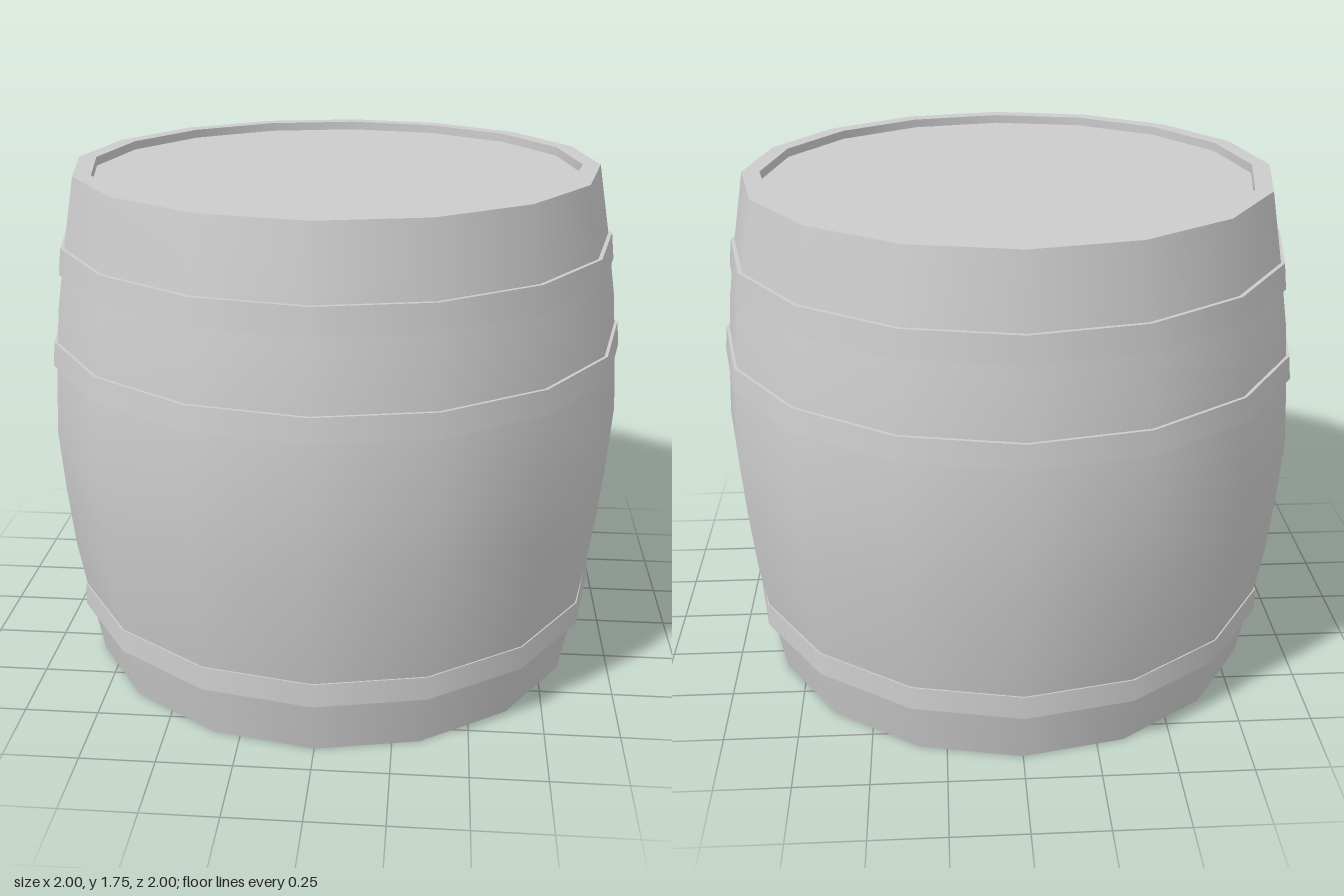
import * as THREE from 'three';
import { mergeGeometries } from 'three/addons/utils/BufferGeometryUtils.js';

const SIDES = 16;
const HEIGHT = 1.745;
const material = new THREE.MeshStandardMaterial({ color: 0xcccccc });

// Revolves several [radius, y] runs; each run is smooth, with hard edges between runs.
function turned(name, runs) {
  const parts = runs.map((run) =>
    new THREE.LatheGeometry(run.map(([r, y]) => new THREE.Vector2(r, y)), SIDES));
  const mesh = new THREE.Mesh(mergeGeometries(parts), material);
  mesh.name = name;
  return mesh;
}

// A hoop with flat lower and upper lips.
function hoop(name, y0, y1, r0, r1) {
  const inner = r0 - 0.05;
  return turned(name, [
    [[inner, y0], [r0, y0]],
    [[r0, y0], [r1, y1]],
    [[r1, y1], [inner, y1]],
  ]);
}

export function createModel() {
  const group = new THREE.Group();
  group.name = 'barrel';

  // Bulging staves, symmetric about mid height
  const lower = [[0.89, 0], [0.93, 0.22], [0.966, 0.44], [0.986, 0.655]];
  const upper = lower.map(([r, y]) => [r, HEIGHT - y]).reverse();
  group.add(turned('staves', [[...lower, [1, HEIGHT / 2], ...upper]]));

  // Rims and sunken heads at both ends
  const rim = 0.89, head = 0.83, depth = 0.03;
  const top = HEIGHT - depth;
  group.add(turned('topHead', [
    [[rim, HEIGHT], [head, HEIGHT]],
    [[head, HEIGHT], [head, top]],
    [[head, top], [0, top]],
  ]));
  group.add(turned('bottomHead', [
    [[0, depth], [head, depth]],
    [[head, depth], [head, 0]],
    [[head, 0], [rim, 0]],
  ]));

  // Three hoops
  group.add(hoop('lowerHoop', 0.197, 0.277, 0.948, 0.944));
  group.add(hoop('middleHoop', 1.115, 1.195, 0.996, 0.987));
  group.add(hoop('upperHoop', 1.425, 1.513, 0.956, 0.945));
  return group;
}
